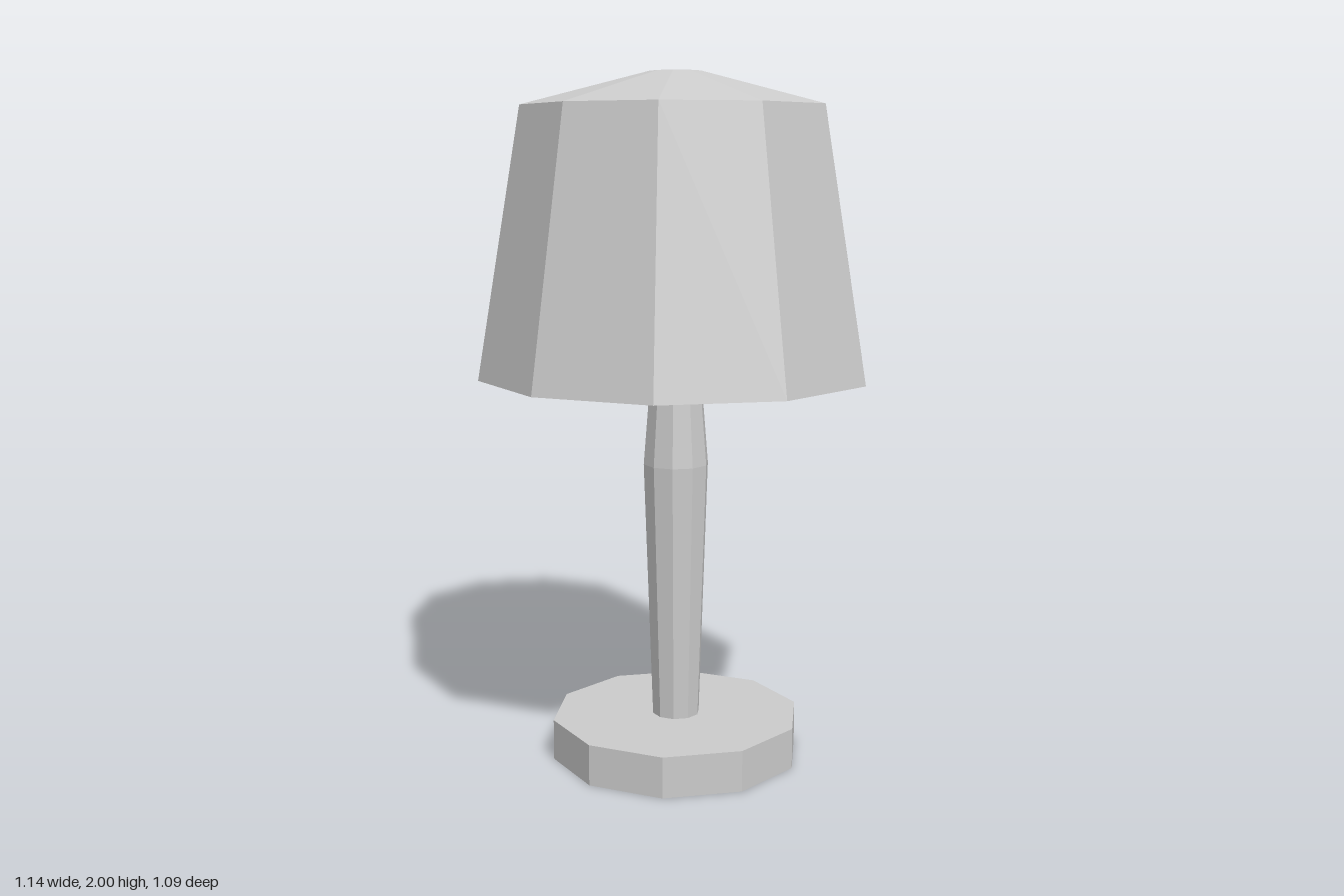
import * as THREE from 'three';

const SIDES = 10;

// Faceted solid of revolution with a corner on the x axis
function turned(name, profile, side = THREE.FrontSide) {
  const points = profile.map(([r, y]) => new THREE.Vector2(r, y));
  const geometry = new THREE.LatheGeometry(points, SIDES, Math.PI / 2);
  const material = new THREE.MeshStandardMaterial({ color: 0xcccccc, flatShading: true, side });
  const mesh = new THREE.Mesh(geometry, material);
  mesh.name = name;
  return mesh;
}

export function createModel() {
  const lamp = new THREE.Group();
  lamp.name = 'tableLamp';

  // Flat foot
  lamp.add(turned('base', [[0, 0], [0.37, 0], [0.37, 0.12], [0, 0.12]]));

  // Stem swelling towards the top
  lamp.add(turned('stem', [[0.07, 0.12], [0.096, 0.88], [0.075, 1.14]]));

  // Funnel carrying the shade from the stem
  lamp.add(turned('shadeSupport', [[0.075, 1.14], [0.495, 1.57]], THREE.DoubleSide));

  // Thin shade with sloping top and a shallow recess in the middle
  lamp.add(turned('shade', [
    [0.571, 1.14], [0.442, 1.905], [0.076, 2], [0.052, 1.97], [0, 1.97],
  ], THREE.DoubleSide));

  return lamp;
}
